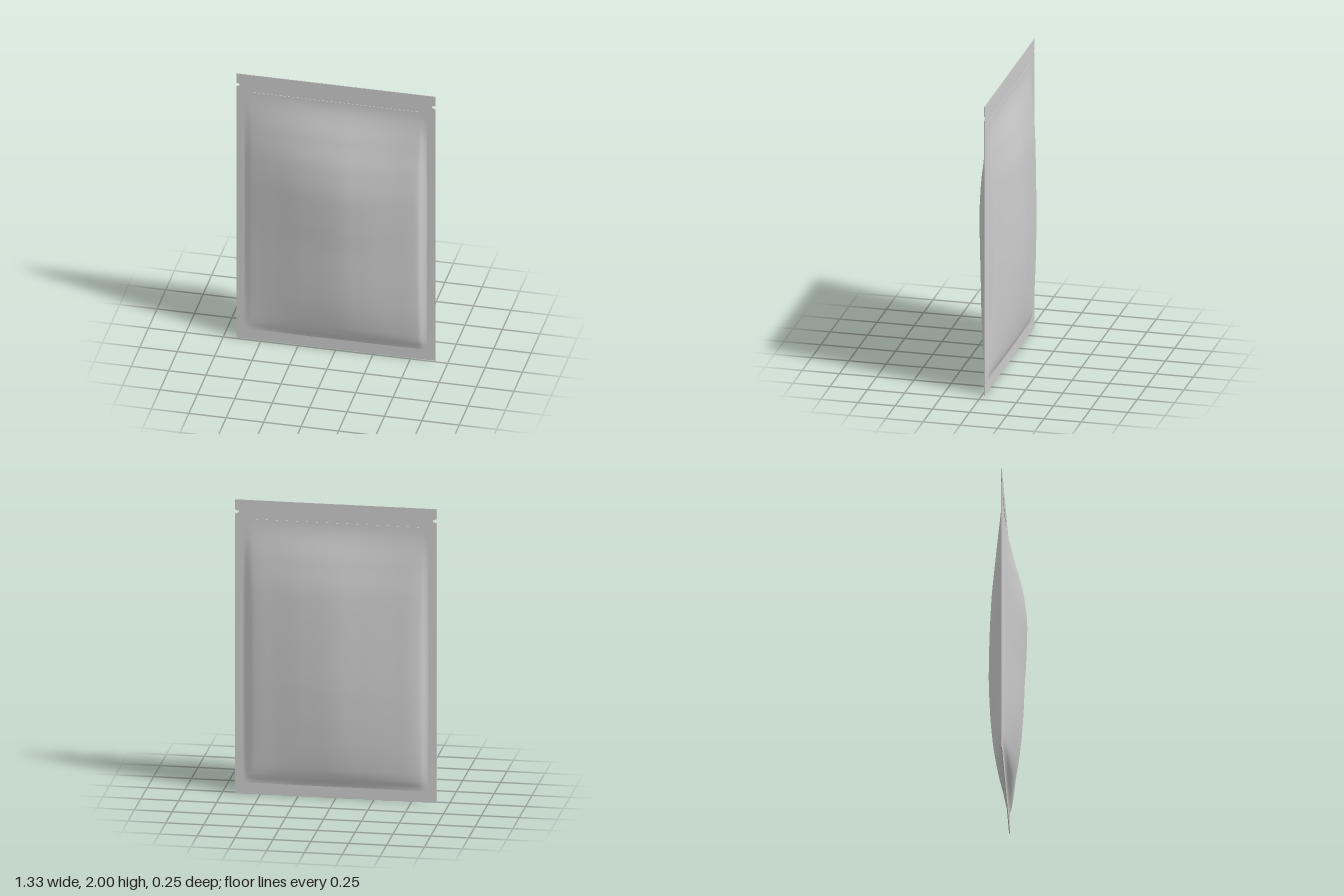
import * as THREE from 'three';

const SEAL_Z = -0.015, SHEET = 0.006;
const HALF_W = 0.665, X_IN = 0.61, Y_LOW = 0.075, Y_HIGH = 1.86;

// Smooth monotone curve through [position, value] points
function profile(points) {
  const n = points.length;
  const slope = i => (points[i + 1][1] - points[i][1]) / (points[i + 1][0] - points[i][0]);
  const tangents = points.map((p, i) => {
    if (i === 0 || i === n - 1) return 0;
    const a = slope(i - 1), b = slope(i);
    return a * b <= 0 ? 0 : (2 * a * b) / (a + b);
  });
  return t => {
    if (t <= points[0][0]) return points[0][1];
    if (t >= points[n - 1][0]) return points[n - 1][1];
    let i = 0;
    while (t > points[i + 1][0]) i++;
    const h = points[i + 1][0] - points[i][0], s = (t - points[i][0]) / h;
    const s2 = s * s, s3 = s2 * s;
    return (2 * s3 - 3 * s2 + 1) * points[i][1] + (s3 - 2 * s2 + s) * h * tangents[i]
      + (3 * s2 - 2 * s3) * points[i + 1][1] + (s3 - s2) * h * tangents[i + 1];
  };
}

// Bulging wall: depth is the product of a width profile and a height profile
function wall(name, side, across, up, material) {
  const w = 2 * X_IN, h = Y_HIGH - Y_LOW;
  const geometry = new THREE.PlaneGeometry(w, h, 90, 130);
  if (side < 0) geometry.rotateY(Math.PI);
  geometry.translate(0, Y_LOW + h / 2, 0);
  const pos = geometry.attributes.position;
  for (let i = 0; i < pos.count; i++) {
    const depth = across(pos.getX(i)) * up(pos.getY(i));
    pos.setZ(i, SEAL_Z + side * (SHEET / 2 + depth));
  }
  geometry.computeVertexNormals();
  const mesh = new THREE.Mesh(geometry, material);
  mesh.name = name;
  return mesh;
}

export function createModel() {
  const pouch = new THREE.Group();
  pouch.name = 'pouch';
  const material = new THREE.MeshStandardMaterial({ color: 0xcccccc, side: THREE.DoubleSide });

  // Flat sealed border with a tear notch on each edge
  const outline = new THREE.Shape();
  const right = [[HALF_W, 0], [HALF_W, 1.905], [0.645, 1.911], [0.64, 1.918], [0.645, 1.925], [HALF_W, 1.931], [HALF_W, 2]];
  const left = right.map(([x, y]) => [-x, y]).reverse();
  outline.setFromPoints([...right, ...left].map(([x, y]) => new THREE.Vector2(x, y)));
  const opening = new THREE.Path();
  opening.setFromPoints([[-X_IN, Y_LOW], [-X_IN, Y_HIGH], [X_IN, Y_HIGH], [X_IN, Y_LOW]]
    .map(([x, y]) => new THREE.Vector2(x, y)));
  outline.holes.push(opening);
  const border = new THREE.Mesh(
    new THREE.ExtrudeGeometry(outline, { depth: SHEET, bevelEnabled: false }), material);
  border.position.z = SEAL_Z - SHEET / 2;
  border.name = 'sealedBorder';
  pouch.add(border);

  // Filled front and back walls
  const frontAcross = profile([[-X_IN, 0], [-0.57, 0.12], [-0.5, 0.25], [-0.4, 0.43], [-0.2, 0.78], [0, 0.98],
    [0.06, 1], [0.2, 0.9], [0.4, 0.64], [0.54, 0.45], [0.57, 0.36], [0.59, 0.1], [X_IN, 0]]);
  const frontUp = profile([[Y_LOW, 0], [0.1, 0.013], [0.13, 0.038], [0.2, 0.063], [0.4, 0.097], [0.6, 0.112],
    [0.8, 0.12], [1, 0.131], [1.2, 0.136], [1.4, 0.117], [1.6, 0.067], [Y_HIGH, 0]]);
  const backAcross = profile([[-X_IN, 0], [-0.59, 0.08], [-0.57, 0.28], [-0.5, 0.5], [-0.4, 0.62], [-0.2, 0.84],
    [0, 1], [0.2, 0.86], [0.4, 0.58], [0.54, 0.38], [0.575, 0.22], [0.59, 0.07], [X_IN, 0]]);
  const backUp = profile([[Y_LOW, 0], [0.1, 0.01], [0.13, 0.034], [0.2, 0.058], [0.4, 0.086], [0.6, 0.1],
    [0.8, 0.106], [1, 0.103], [1.2, 0.096], [1.4, 0.084], [1.6, 0.051], [Y_HIGH, 0]]);
  pouch.add(wall('frontWall', 1, frontAcross, frontUp, material));
  pouch.add(wall('backWall', -1, backAcross, backUp, material));

  // Thin zip ridge just above the filling, on both faces
  for (const side of [1, -1]) {
    const ridge = new THREE.Mesh(new THREE.BoxGeometry(1.12, 0.008, 0.003), material);
    ridge.position.set(0, 1.868, SEAL_Z + side * (SHEET / 2 + 0.001));
    ridge.name = side > 0 ? 'frontZipRidge' : 'backZipRidge';
    pouch.add(ridge);
  }
  return pouch;
}
